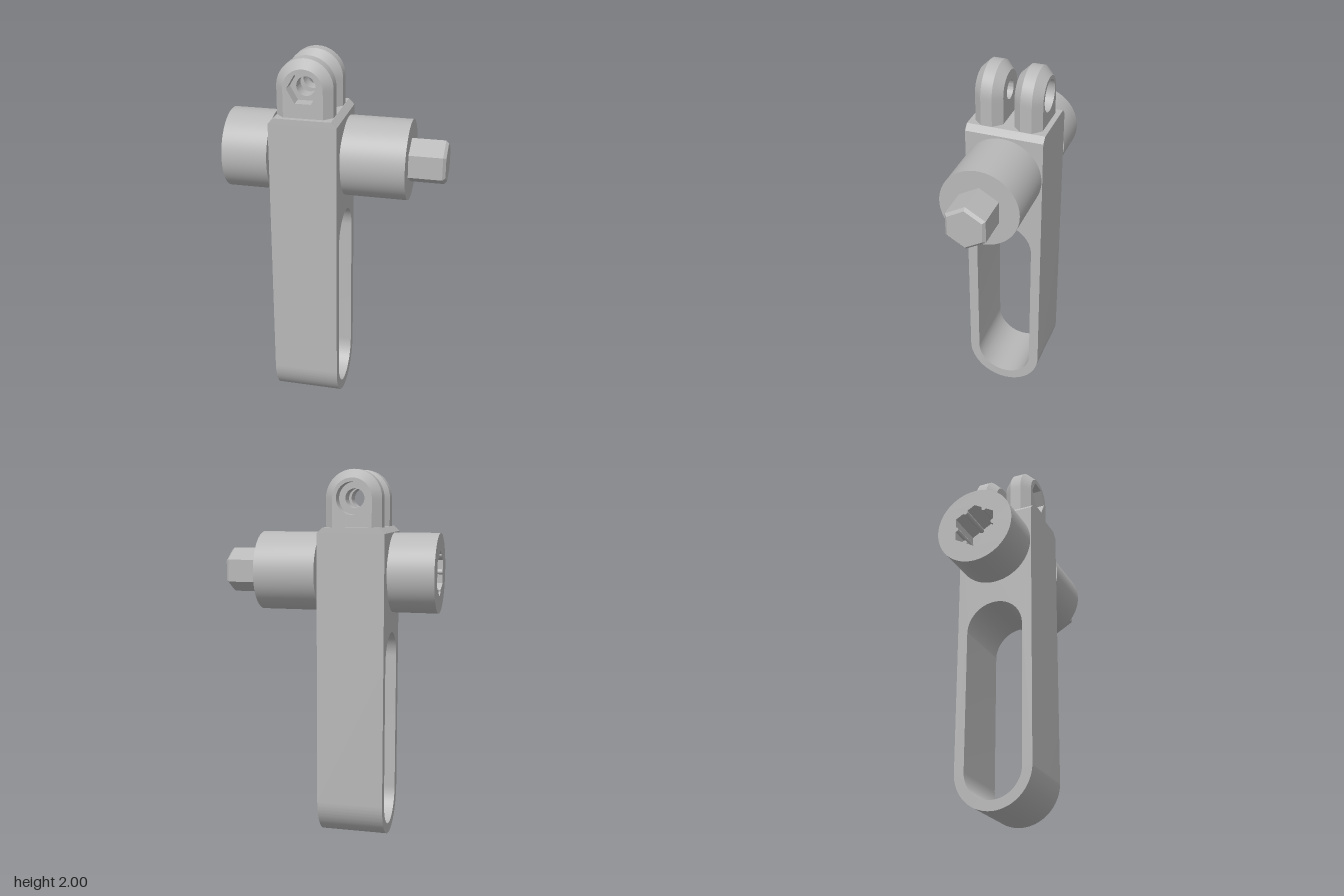
import * as THREE from 'three';
import { toCreasedNormals } from 'three/addons/utils/BufferGeometryUtils.js';

const AXLE_Y = 1.457, KNOB_R = 0.213, LUG_X = -0.147, LUG_Y = 1.85, N = 48;

export function createModel() {
  const model = new THREE.Group();
  const grey = new THREE.MeshStandardMaterial({ color: 0xb8b8b8 });
  grey.name = 'grey plastic';

  const add = (name, geometry, x = 0, y = 0, z = 0) => {
    const mesh = new THREE.Mesh(toCreasedNormals(geometry, 0.5), grey);
    mesh.name = name;
    mesh.position.set(x, y, z);
    model.add(mesh);
    return mesh;
  };

  // Extrudes a (z, y) shape along +x
  const extrudeX = (shape, depth) =>
    new THREE.ExtrudeGeometry(shape, { depth, bevelEnabled: false, curveSegments: 48 }).rotateY(Math.PI / 2);

  // Turns a [radius, length] profile around the x axis
  const turnX = (profile, sides) =>
    new THREE.LatheGeometry(profile.map(p => new THREE.Vector2(...p)), sides, Math.PI / 6).rotateZ(-Math.PI / 2);

  const rod = (r, length) => turnX([[0, 0], [r, 0], [r, length], [0, length]], 72);

  // Long body: straight sides, round bottom, slot through it
  const body = new THREE.Shape();
  body.moveTo(0.212, 1.67);
  body.lineTo(-0.212, 1.67);
  body.lineTo(-0.212, 0.212);
  body.absarc(0, 0.212, 0.212, Math.PI, Math.PI * 2, false);
  body.closePath();
  const slot = new THREE.Path();
  slot.absarc(0, 0.213, 0.158, Math.PI, Math.PI * 2, false);
  slot.absarc(0, 0.973, 0.158, 0, Math.PI, false);
  slot.closePath();
  body.holes.push(slot);
  add('body', extrudeX(body, 0.361), -0.326);

  // Bevelled top of the body
  const cap = new THREE.Shape([[-0.326, 1.67], [0.035, 1.67], [0.005, 1.7], [-0.296, 1.7]]
    .map(p => new THREE.Vector2(...p)));
  add('bodyTop', new THREE.ExtrudeGeometry(cap, { depth: 0.424, bevelEnabled: false }), 0, 0, -0.212);

  // Axle, whose end is also the socket floor
  add('axle', rod(0.15, 0.437), -0.385, AXLE_Y);
  add('driveKnob', rod(KNOB_R, 0.335), 0.052, AXLE_Y);

  // Hexagonal drive with a bevelled tip
  add('hexDrive', turnX([[0, 0], [0.121, 0], [0.121, 0.178], [0.105, 0.193], [0, 0.193]], 6), 0.387, AXLE_Y);

  // Knob with a ribbed hexagonal socket
  const knob = new THREE.Shape().absarc(0, 0, KNOB_R, 0, Math.PI * 2, false);
  const socket = [], apothem = 0.108, rib = 0.014;
  for (let k = 0; k < 6; k++) {
    const a = k * Math.PI / 3, c = Math.cos(a), s = Math.sin(a);
    const put = (n, t) => socket.push(new THREE.Vector2(n * c - t * s, n * s + t * c));
    put(apothem, -apothem * Math.tan(Math.PI / 6));
    for (let j = 0; j <= 8; j++) {
      const b = j * Math.PI / 8;
      put(apothem - rib * Math.sin(b), -rib * Math.cos(b));
    }
  }
  knob.holes.push(new THREE.Path(socket));
  add('socketKnob', extrudeX(knob, 0.245), -0.585, AXLE_Y);

  // Cross-sections for the lugs, all with N points around the hole
  const ring = (z, f) => Array.from({ length: N }, (_, i) => [...f(i * Math.PI * 2 / N), z]);
  const circle = r => a => [r * Math.cos(a), r * Math.sin(a)];
  const hexagon = r => a => {
    const m = Math.PI / 3, d = ((a + 1e-6) % m) - m / 2;
    return circle(r * Math.cos(m / 2) / Math.cos(d))(a);
  };
  const arch = r => a => {
    const c = Math.cos(a), s = Math.sin(a);
    if (s > -1e-6) return [r * c, r * s];
    const k = 1 / Math.max(Math.abs(c), Math.abs(s));
    return [r * c * k, 0.16 * s * k];
  };

  // Skins a closed loop of cross-sections
  const skin = rings => {
    const index = [];
    rings.forEach((_, k) => {
      const next = (k + 1) % rings.length;
      for (let i = 0; i < N; i++) {
        const j = (i + 1) % N;
        const a = k * N + i, b = k * N + j, c = next * N + j, d = next * N + i;
        index.push(a, b, c, a, c, d);
      }
    });
    const g = new THREE.BufferGeometry();
    g.setAttribute('position', new THREE.Float32BufferAttribute(rings.flat(2), 3));
    g.setIndex(index);
    return g;
  };

  // Bevelled lug with a through hole and a recess on its outer face
  const lug = (recess, depth) => skin([
    ring(0.03, arch(0.105)), ring(0.076, arch(0.15)), ring(0.137, arch(0.15)), ring(0.183, arch(0.105)),
    ring(0.183, recess), ring(0.183 - depth, recess), ring(0.183 - depth, circle(0.051)), ring(0.03, circle(0.051)),
  ]);
  add('frontLug', lug(hexagon(0.085), 0.07), LUG_X, LUG_Y);
  add('backLug', lug(circle(0.085), 0.07), LUG_X, LUG_Y).rotation.y = Math.PI;

  return model;
}
